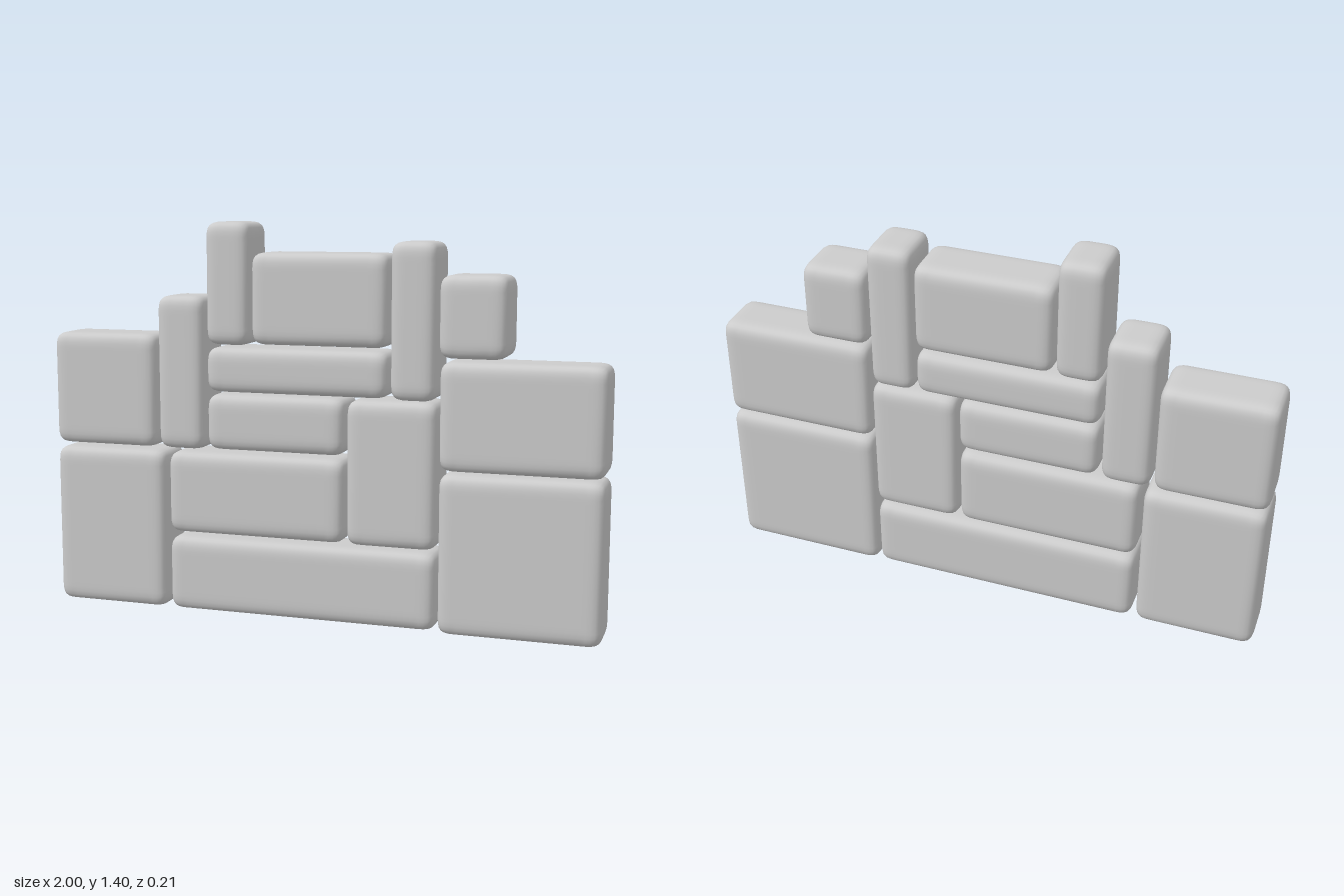
import * as THREE from 'three';
import { mergeVertices } from 'three/addons/utils/BufferGeometryUtils.js';

const DEPTH = 0.212;
const BAND = 0.07; // width of the soft edge
const STEPS = 4;   // rows of faces across each soft edge

// Box whose edges and corners are softened by a superellipse
function softBlock(w, h, d) {
  const n = STEPS * 2 + 1;
  const half = [w / 2, h / 2, d / 2];
  let geo = new THREE.BoxGeometry(1, 1, 1, n, n, n);
  geo.deleteAttribute('uv');
  geo.deleteAttribute('normal');
  geo = mergeVertices(geo, 1e-4);
  const pos = geo.attributes.position;
  for (let i = 0; i < pos.count; i++) {
    const p = [pos.getX(i), pos.getY(i), pos.getZ(i)];
    const sign = p.map(Math.sign);
    // Gather the grid lines near the edges, leaving one wide flat cell
    const off = p.map((v) => {
      const fromEdge = Math.round((0.5 - Math.abs(v)) * n);
      return 1 - fromEdge / STEPS;
    });
    const len = Math.pow(off.reduce((s, v) => s + v ** 4, 0), 0.25);
    const q = off.map((v, a) => sign[a] * (half[a] - BAND + (BAND * v) / len));
    pos.setXYZ(i, q[0], q[1], q[2]);
  }
  geo.computeVertexNormals();
  return geo;
}

// Name, left edge, right edge, bottom, top
const STONES = [
  ['lowerRightStone', -1, -0.57, 0.007, 0.585],
  ['upperRightStone', -1, -0.6, 0.598, 1.005],
  ['rightUprightStone', -0.592, -0.415, 0.598, 1.145],
  ['tallUprightStone', -0.405, -0.243, 0.975, 1.405],
  ['topStone', -0.236, 0.257, 0.98, 1.3],
  ['upperSlab', -0.405, 0.257, 0.808, 0.967],
  ['leftUprightStone', 0.264, 0.425, 0.804, 1.342],
  ['smallTopStone', 0.432, 0.666, 0.953, 1.233],
  ['upperLeftStone', 0.436, 1, 0.569, 0.943],
  ['lowerLeftStone', 0.436, 1, 0, 0.56],
  ['middleSlab', -0.405, 0.102, 0.602, 0.8],
  ['centreUprightStone', 0.11, 0.43, 0.29, 0.8],
  ['lowerSlab', -0.556, 0.102, 0.292, 0.587],
  ['baseSlab', -0.556, 0.43, 0.007, 0.277],
];

export function createModel() {
  const wall = new THREE.Group();
  wall.name = 'stoneWall';
  const stone = new THREE.MeshStandardMaterial({ color: 0xcccccc });
  for (const [name, x0, x1, y0, y1] of STONES) {
    const mesh = new THREE.Mesh(softBlock(x1 - x0, y1 - y0, DEPTH), stone);
    mesh.name = name;
    mesh.position.set((x0 + x1) / 2, (y0 + y1) / 2, 0);
    wall.add(mesh);
  }
  return wall;
}
